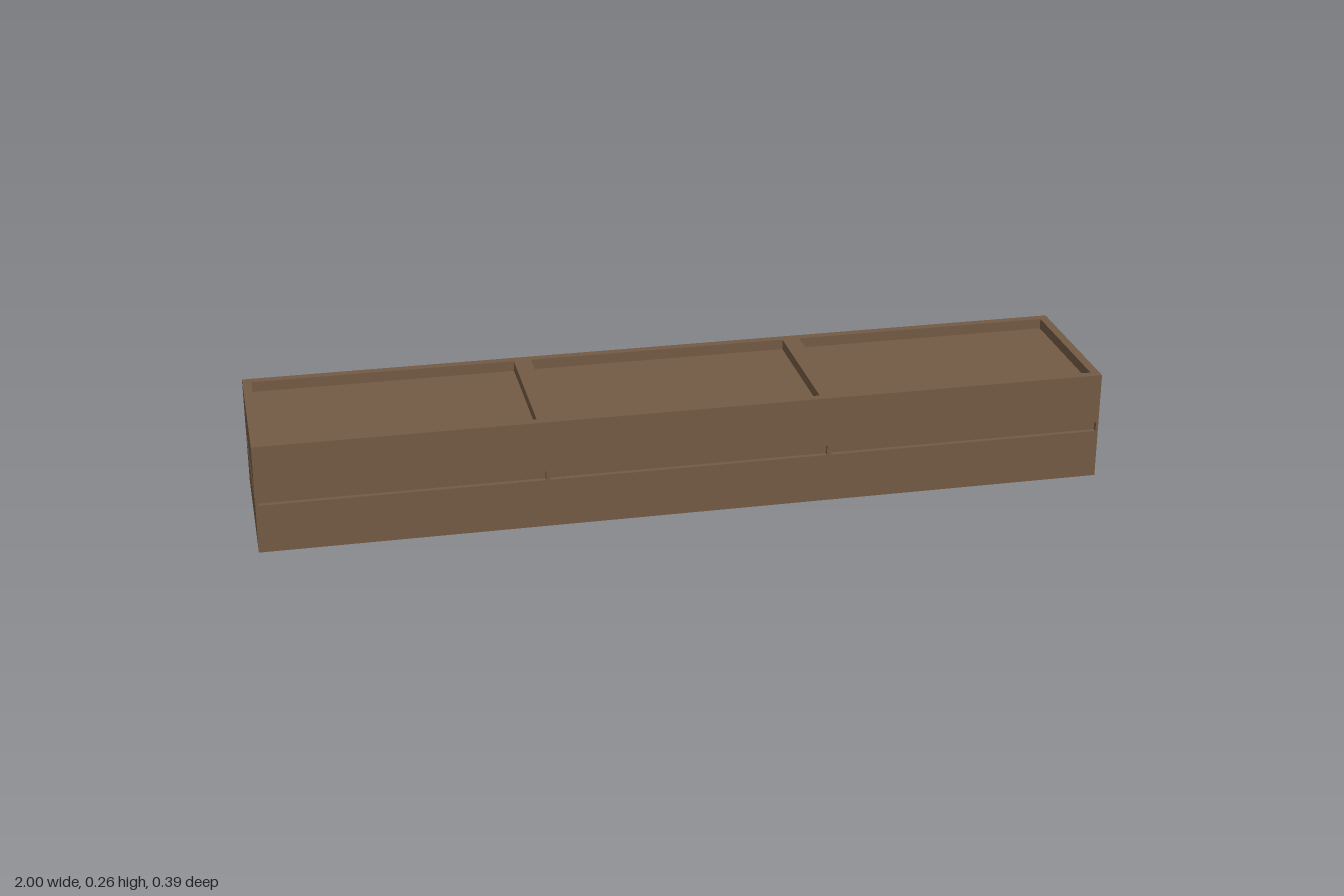
import * as THREE from 'three';

const H = 0.262, D = 0.394;            // overall height and depth
const SLOT_LOW = 0.117, SLOT_HIGH = 0.14;
const SLOT_DEPTH = 0.012, TRAY_DEPTH = 0.025, RIM = 0.021;

export function createModel() {
  const group = new THREE.Group();
  const wood = new THREE.MeshStandardMaterial({ color: 0x735a45 });
  wood.name = 'brown wood';

  // Box spanning y0..y1, centred on x and z
  function slab(name, w, d, y0, y1, x = 0, z = 0) {
    const mesh = new THREE.Mesh(new THREE.BoxGeometry(w, y1 - y0, d), wood);
    mesh.position.set(x, (y0 + y1) / 2, z);
    mesh.name = name;
    group.add(mesh);
  }

  // Solid body: base, inset band behind the slots, upper block
  slab('base', 2, D, 0, SLOT_LOW);
  slab('slotBand', 2 - 2 * SLOT_DEPTH, D - 2 * SLOT_DEPTH, SLOT_LOW, SLOT_HIGH);
  slab('upperBlock', 2, D, SLOT_HIGH, H - TRAY_DEPTH);

  // Small uprights that close the slots at the corners and between modules
  for (const z of [-1, 1]) {
    for (const x of [-1, 1]) {
      slab('cornerPost', 0.006, 0.015, SLOT_LOW, SLOT_HIGH, x * 0.997, z * (D / 2 - 0.0075));
      slab('slotDivider', 0.01, SLOT_DEPTH, SLOT_LOW, SLOT_HIGH, x / 3, z * (D - SLOT_DEPTH) / 2);
      // Fills behind the corner post so the end slot stops short of the corner
      slab('cornerPost', SLOT_DEPTH, 0.003, SLOT_LOW, SLOT_HIGH,
        x * (1 - SLOT_DEPTH / 2), z * (D / 2 - 0.0135));
    }
  }

  // Rim with three shallow rectangular trays
  const rect = (Path, x0, x1, z) => {
    const p = new Path();
    p.moveTo(x0, -z);
    p.lineTo(x1, -z);
    p.lineTo(x1, z);
    p.lineTo(x0, z);
    p.closePath();
    return p;
  };
  const outline = rect(THREE.Shape, -1, 1, D / 2);
  for (let i = 0; i < 3; i++) {
    const x0 = -1 + i * 2 / 3;
    outline.holes.push(rect(THREE.Path, x0 + RIM, x0 + 2 / 3 - RIM, D / 2 - RIM));
  }
  const rim = new THREE.Mesh(
    new THREE.ExtrudeGeometry(outline, { depth: TRAY_DEPTH, bevelEnabled: false }), wood);
  rim.rotation.x = -Math.PI / 2;
  rim.position.y = H - TRAY_DEPTH;
  rim.name = 'trayRim';
  group.add(rim);

  return group;
}
